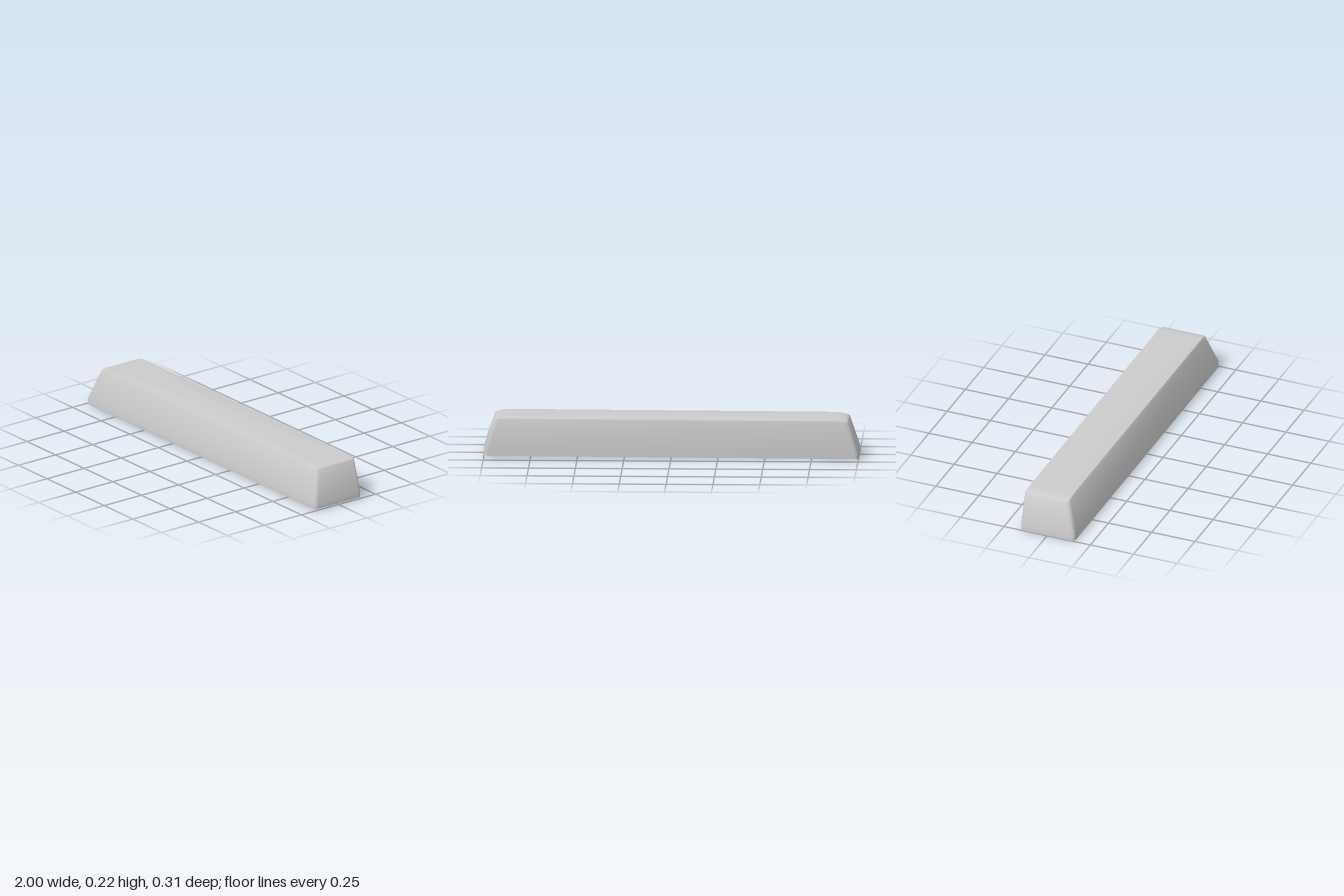
import * as THREE from 'three';
import { toCreasedNormals } from 'three/addons/utils/BufferGeometryUtils.js';

const CORNER_STEPS = 8;

// Rounded rectangle at height y, counter-clockwise seen from above
function ring({ y, x, front, back, r }) {
  const points = [];
  const corners = [[x - r, back + r], [-x + r, back + r], [-x + r, front - r], [x - r, front - r]];
  corners.forEach(([cx, cz], q) => {
    for (let i = 0; i <= CORNER_STEPS; i++) {
      const a = (q + i / CORNER_STEPS) * Math.PI / 2;
      points.push(new THREE.Vector3(cx + r * Math.cos(a), y, cz - r * Math.sin(a)));
    }
  });
  return points;
}

// Skin through the rings, closed with a fan at both ends
function loft(sections) {
  const rings = sections.map(ring);
  const n = rings[0].length;
  const positions = [];
  const tri = (...pts) => pts.forEach(p => positions.push(p.x, p.y, p.z));
  const centre = s => new THREE.Vector3(0, s.y, (s.front + s.back) / 2);
  const last = rings.length - 1;
  for (let i = 0; i < n; i++) {
    const j = (i + 1) % n;
    tri(rings[0][j], rings[0][i], centre(sections[0]));
    for (let k = 0; k < last; k++) {
      const a = rings[k], b = rings[k + 1];
      tri(a[i], a[j], b[j]);
      tri(a[i], b[j], b[i]);
    }
    tri(rings[last][i], rings[last][j], centre(sections[last]));
  }
  const geometry = new THREE.BufferGeometry();
  geometry.setAttribute('position', new THREE.Float32BufferAttribute(positions, 3));
  return toCreasedNormals(geometry, 0.6);
}

// Hollow cap: cavity from its ceiling down, around the rim, then up the outside
function capGeometry() {
  const wall = 0.022, skirt = 0.03, height = 0.212;
  const frontAt = y => 0.158 - 0.058 * Math.max(0, y - skirt) / (height - skirt);
  const endAt = y => 1 - 0.052 * Math.max(0, y - skirt) / (0.192 - skirt);
  const outer = y => ({ y, x: endAt(y), front: frontAt(y), back: -0.157, r: 0.022 });
  const inner = y => ({ y, x: endAt(y) - wall, front: frontAt(y) - wall, back: -0.157 + wall, r: 0.012 });
  const sections = [inner(0.182), inner(skirt), inner(0), outer(0), outer(skirt)];
  // Soft shoulders at the ends and a small fillet along the back
  for (let i = 0; i <= 8; i++) {
    const a = i / 8 * Math.PI / 2;
    const y = 0.192 + 0.02 * Math.sin(a);
    sections.push({
      y, x: 0.88 + 0.068 * Math.cos(a), front: frontAt(y),
      back: -0.157 + 0.008 * (1 - Math.cos(a)), r: 0.022,
    });
  }
  return loft(sections);
}

// Round post with a cross-shaped socket
function stemGeometry() {
  const shape = new THREE.Shape().absarc(0, 0, 0.052, 0, Math.PI * 2);
  const l = 0.035, w = 0.011;
  const cross = [[l, w], [w, w], [w, l], [-w, l], [-w, w], [-l, w],
    [-l, -w], [-w, -w], [-w, -l], [w, -l], [w, -w], [l, -w]];
  shape.holes.push(new THREE.Path(cross.map(([x, y]) => new THREE.Vector2(x, y))));
  const geometry = new THREE.ExtrudeGeometry(shape, { depth: 0.137, bevelEnabled: false, curveSegments: 24 });
  return toCreasedNormals(geometry.rotateX(-Math.PI / 2), 0.6);
}

export function createModel() {
  const material = new THREE.MeshStandardMaterial({ color: 0xcccccc });
  const cap = new THREE.Mesh(capGeometry(), material);
  cap.name = 'capShell';
  const stem = new THREE.Mesh(stemGeometry(), material);
  stem.name = 'stem';
  stem.position.set(0.02, 0.048, 0.015);

  // The key leans very slightly along its length
  const key = new THREE.Group();
  key.name = 'key';
  key.add(cap, stem);
  key.rotation.z = 0.004;
  key.position.y = 0.004;

  const model = new THREE.Group();
  model.name = 'longKeycap';
  model.add(key);
  return model;
}
